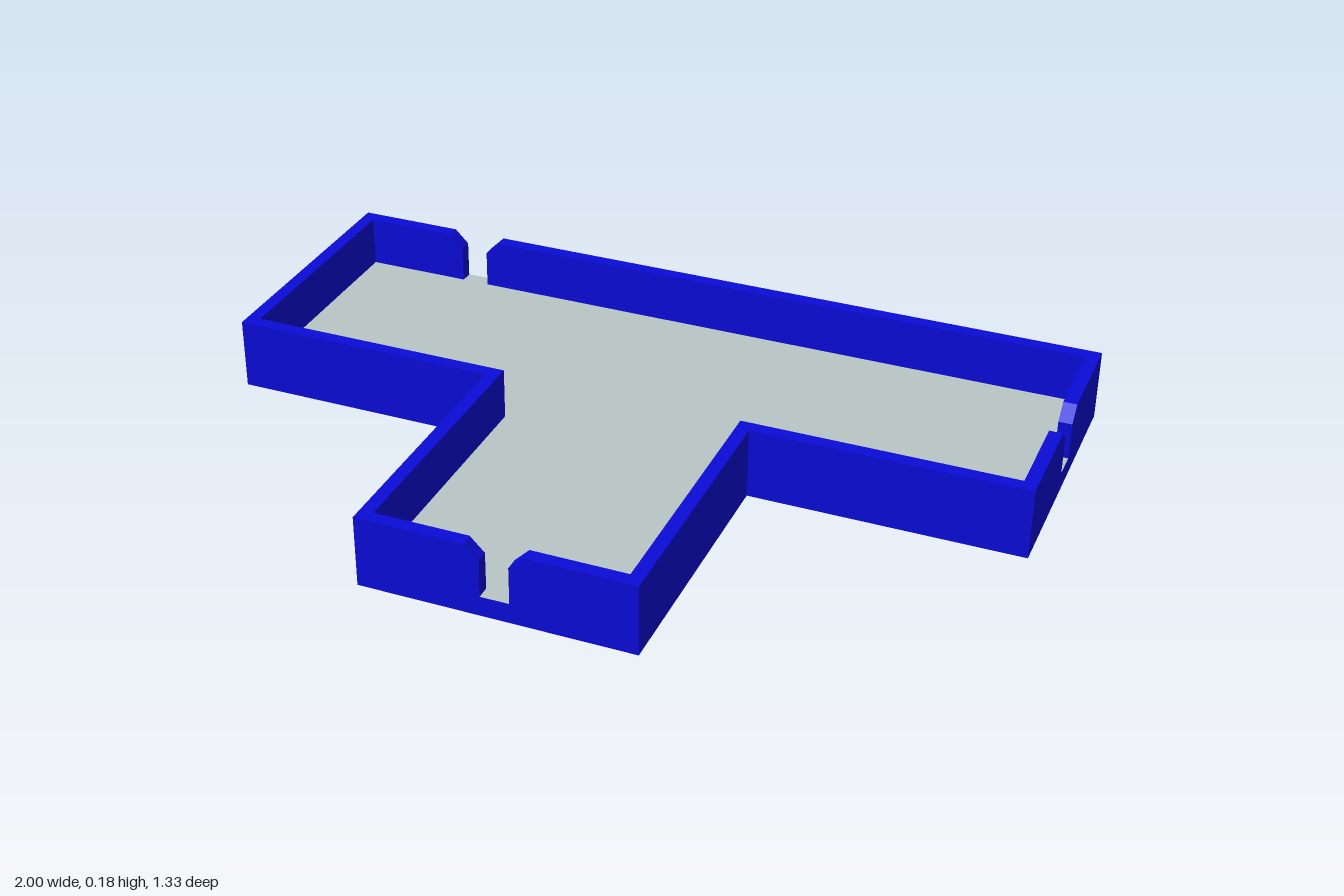
import * as THREE from 'three';

const HEIGHT = 0.178, FLOOR = 0.05, THICK = 0.033;
const GAP = 0.035, BEVEL = 0.035; // half width of a slot, and its flared mouth

// T-shaped outline as [x, z], with the outside on the right of each edge
const A = 1, B = 1 / 3, D = 2 / 3;
const OUTLINE = [[-B, D], [B, D], [B, 0], [A, 0], [A, -D], [-A, -D], [-A, 0], [-B, 0]];
const INNER_CORNERS = [2, 7];
const SLOTS = { 0: B, 3: B, 4: A + D }; // edge index: distance along the edge

export function createModel() {
  const blue = new THREE.MeshStandardMaterial({ color: 0x0b0bd8 });
  blue.name = 'blue';
  const grey = new THREE.MeshStandardMaterial({ color: 0xb8c6c5 });
  grey.name = 'paleGrey';

  const group = new THREE.Group();
  const add = (geometry, material, name) => {
    const mesh = new THREE.Mesh(geometry, material);
    mesh.name = name;
    group.add(mesh);
    return mesh;
  };

  // Base slab and its pale floor surface
  const plan = new THREE.Shape(OUTLINE.map(([x, z]) => new THREE.Vector2(x, -z)));
  const slab = new THREE.ExtrudeGeometry(plan, { depth: FLOOR - 0.001, bevelEnabled: false });
  add(slab.rotateX(-Math.PI / 2), blue, 'base');
  const floor = new THREE.ShapeGeometry(plan).rotateX(-Math.PI / 2).translate(0, FLOOR, 0);
  add(floor, grey, 'floor');

  // Upright wall panel from its side profile, with the outer face at local z = 0
  const panel = (points) => new THREE.ExtrudeGeometry(
    new THREE.Shape(points.map(([s, y]) => new THREE.Vector2(s, y))),
    { depth: THICK, bevelEnabled: false }
  ).translate(0, 0, -THICK);

  // One wall per edge, split in two where there is a slot
  const y0 = FLOOR - 0.001;
  OUTLINE.forEach(([x, z], i) => {
    const next = (i + 1) % OUTLINE.length;
    const dx = OUTLINE[next][0] - x, dz = OUTLINE[next][1] - z;
    const end = Math.hypot(dx, dz) + (INNER_CORNERS.includes(next) ? THICK : -THICK);
    const slot = SLOTS[i];
    const profiles = slot === undefined
      ? [[[0, y0], [end, y0], [end, HEIGHT], [0, HEIGHT]]]
      : [
        [[0, y0], [slot - GAP, y0], [slot - GAP, HEIGHT - BEVEL],
          [slot - GAP - BEVEL, HEIGHT], [0, HEIGHT]],
        [[slot + GAP, y0], [end, y0], [end, HEIGHT],
          [slot + GAP + BEVEL, HEIGHT], [slot + GAP, HEIGHT - BEVEL]],
      ];
    for (const profile of profiles) {
      const wall = add(panel(profile), blue, slot === undefined ? 'wall' : 'slottedWall');
      wall.position.set(x, 0, z);
      wall.rotation.y = Math.atan2(-dz, dx);
    }
  });

  return group;
}
